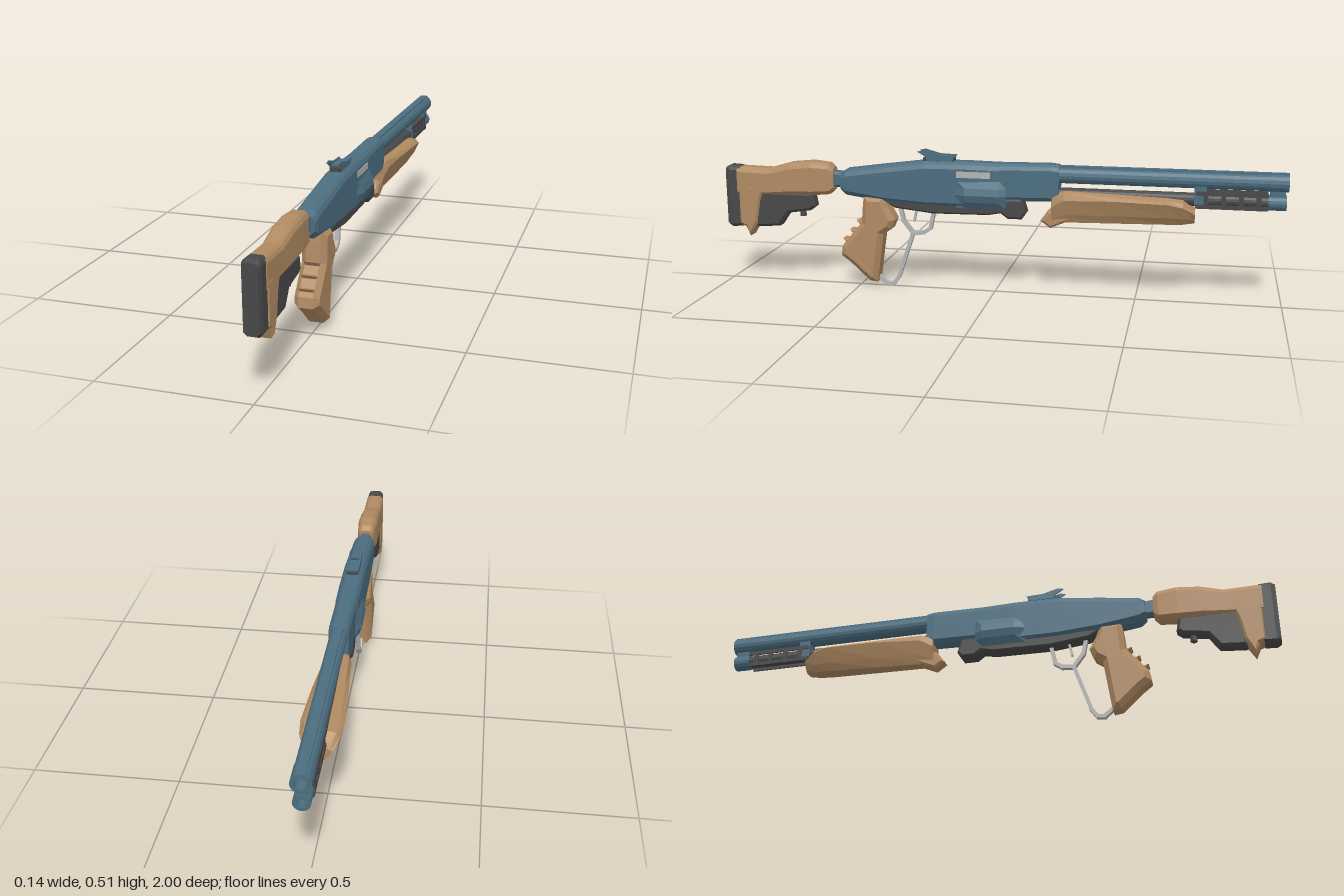
import * as THREE from 'three';

const mat = (color) => new THREE.MeshStandardMaterial({ color, flatShading: true, side: THREE.DoubleSide });
const BLUE = mat(0x4c6e80), TAN = mat(0xb08a62), DARK = mat(0x484848), STEEL = mat(0xb4b4b4);

export function createModel() {
  const root = new THREE.Group();

  const add = (name, geo, material, x = 0, y = 0, z = 0) => {
    const m = new THREE.Mesh(geo, material);
    m.name = name;
    m.position.set(x, y, z);
    root.add(m);
    return m;
  };
  const box = (name, material, w, h, d, x, y, z) => add(name, new THREE.BoxGeometry(w, h, d), material, x, y, z);

  // Skin closed rings (counter-clockwise seen from +z, ordered by rising z)
  function loft(rings) {
    const n = rings[0].length, pos = [];
    const tri = (...p) => p.forEach((v) => pos.push(...v));
    for (let i = 0; i < rings.length - 1; i++) {
      for (let j = 0; j < n; j++) {
        const k = (j + 1) % n;
        const a = rings[i][j], b = rings[i][k], c = rings[i + 1][k], d = rings[i + 1][j];
        tri(a, b, c);
        tri(a, c, d);
      }
    }
    const first = rings[0], last = rings[rings.length - 1];
    for (let j = 1; j < n - 1; j++) {
      tri(first[0], first[j + 1], first[j]);
      tri(last[0], last[j], last[j + 1]);
    }
    const g = new THREE.BufferGeometry();
    g.setAttribute('position', new THREE.Float32BufferAttribute(pos, 3));
    g.computeVertexNormals();
    return g;
  }
  // Half outline, bottom to top on the +x side, mirrored into a full ring
  const ring = (z, half) => [
    ...half.map(([x, y]) => [x, y, z]),
    ...half.slice().reverse().map(([x, y]) => [-x, y, z]),
  ];
  // Chamfered block section: z, bottom, top, half width, chamfer
  const block = ([z, b, t, w, c]) => ring(z, [[w - c, b], [w, b + c], [w, t - c * 1.3], [w - c * 0.4, t - c * 0.5], [w - c, t]]);

  // Side profile given as [z, y] points, extruded across x with a bevel
  function slab(points, width, bevel) {
    const s = new THREE.Shape(points.map(([z, y]) => new THREE.Vector2(z, y)));
    const depth = width - 2 * bevel;
    const g = new THREE.ExtrudeGeometry(s, {
      depth, bevelEnabled: bevel > 0, bevelThickness: bevel, bevelSize: bevel, bevelOffset: -bevel, bevelSegments: 1,
    });
    return g.translate(0, 0, -depth / 2).rotateY(-Math.PI / 2);
  }
  // Hollow round tube along z
  function pipe(r, inner, z0, z1) {
    const p = [[inner, z0], [inner, z1], [r, z1], [r, z0], [inner, z0]].map(([a, b]) => new THREE.Vector2(a, b));
    return new THREE.LatheGeometry(p, 16).rotateX(Math.PI / 2);
  }

  // Barrel, magazine tube and muzzle clamp
  add('barrel', pipe(0.03, 0.02, -1, 0), BLUE, 0, 0.438, 0);
  add('muzzleRing', pipe(0.032, 0.02, -1, -0.93), BLUE, 0, 0.438, 0);
  box('barrelRib', BLUE, 0.028, 0.012, 0.78, 0, 0.464, -0.61);
  add('magazineTube', pipe(0.023, 0.014, -0.95, -0.1), DARK, 0, 0.37, 0);
  add('magazineCap', pipe(0.027, 0.014, -0.995, -0.935), BLUE, 0, 0.369, 0);
  box('muzzleClamp', BLUE, 0.03, 0.03, 0.05, 0, 0.402, -0.965);
  box('tubeBand', BLUE, 0.046, 0.07, 0.04, 0, 0.39, -0.71);
  for (const side of [-1, 1]) {
    box('shroudRail', DARK, 0.006, 0.014, 0.24, side * 0.023, 0.395, -0.815);
    box('shroudRail', DARK, 0.006, 0.014, 0.24, side * 0.023, 0.35, -0.815);
    for (let i = 0; i < 4; i++) box('shroudRib', DARK, 0.006, 0.04, 0.016, side * 0.023, 0.372, -0.73 - i * 0.058);
  }

  // Receiver, tapering down toward the stock
  add('receiver', loft([
    [-0.02, 0.315, 0.472, 0.038, 0.018],
    [0.1, 0.31, 0.474, 0.04, 0.018],
    [0.25, 0.31, 0.472, 0.04, 0.018],
    [0.4, 0.32, 0.452, 0.04, 0.018],
    [0.54, 0.34, 0.432, 0.04, 0.018],
    [0.56, 0.355, 0.42, 0.034, 0.016],
  ].map(block)), BLUE);
  add('receiverFront', loft([
    [-0.23, 0.35, 0.472, 0.033, 0.015],
    [-0.2, 0.345, 0.475, 0.035, 0.015],
    [-0.01, 0.34, 0.472, 0.036, 0.016],
  ].map(block)), BLUE);
  add('stockJoint', loft([[0.55, 0.365, 0.42, 0.02, 0.008], [0.61, 0.365, 0.425, 0.02, 0.008]].map(block)), BLUE);

  // Swollen sides of the receiver
  const cheek = (z, w) => ring(z, [[0.03, 0.31], [w - 0.008, 0.335], [w, 0.36], [w - 0.006, 0.385], [0.036, 0.415]]);
  add('receiverCheeks', loft([cheek(-0.045, 0.044), cheek(-0.02, 0.055), cheek(0.1, 0.055), cheek(0.135, 0.042)]), BLUE);
  box('ejectionPort', STEEL, 0.008, 0.022, 0.12, 0.038, 0.432, 0.07);

  // Dark underside and loading block
  add('undersidePlate', slab([[0.4, 0.325], [0.36, 0.3], [0.22, 0.285], [0.02, 0.288], [-0.04, 0.3], [-0.04, 0.33]], 0.06, 0.006), DARK);
  add('loadingBlock', slab([[-0.02, 0.35], [-0.02, 0.3], [-0.05, 0.278], [-0.1, 0.278], [-0.115, 0.3], [-0.1, 0.35]], 0.066, 0.008), DARK);

  // Sight: flat plate with two raised wings
  box('sightBase', DARK, 0.036, 0.012, 0.11, 0, 0.478, 0.2);
  for (const side of [-1, 1]) {
    add('sightWing', slab([[0.15, 0.474], [0.24, 0.474], [0.245, 0.488], [0.275, 0.505], [0.255, 0.51], [0.2, 0.495], [0.14, 0.493]], 0.005, 0), BLUE, side * 0.02);
  }
  box('sightPlate', BLUE, 0.036, 0.006, 0.08, 0, 0.487, 0.19);

  // Fore-end with a sharp flared edge along each side
  const flare = ([z, b, m, t, w]) => ring(z, [[w * 0.42, b], [w * 0.68, b + (m - b) * 0.35], [w, m], [w * 0.8, t - 0.006], [0.024, t]]);
  add('foreEnd', loft([
    [-0.695, 0.29, 0.325, 0.335, 0.045],
    [-0.655, 0.285, 0.35, 0.37, 0.063],
    [-0.6, 0.283, 0.36, 0.375, 0.068],
    [-0.42, 0.278, 0.362, 0.38, 0.059],
    [-0.25, 0.273, 0.355, 0.385, 0.047],
    [-0.205, 0.262, 0.33, 0.37, 0.04],
  ].map(flare)), TAN);
  add('foreEndTip', slab([[-0.28, 0.285], [-0.2, 0.25], [-0.165, 0.275], [-0.19, 0.31], [-0.24, 0.33]], 0.052, 0.008), TAN);

  // Pistol grip with swept finger spurs
  add('grip', slab([
    [0.475, 0.34], [0.4, 0.34], [0.385, 0.3], [0.36, 0.255], [0.375, 0.22], [0.405, 0.2], [0.415, 0.13],
    [0.43, 0.02], [0.46, 0.025], [0.525, 0.085], [0.565, 0.115], [0.56, 0.15], [0.52, 0.2], [0.485, 0.24], [0.48, 0.3],
  ], 0.084, 0.018), TAN);
  for (let i = 0; i < 3; i++) {
    const z = 0.475 + i * 0.027, y = 0.235 - i * 0.035;
    add('gripSpur', slab([[z - 0.07, y - 0.01], [z, y - 0.025], [z + 0.03, y + 0.012], [z - 0.015, y + 0.004]], 0.05, 0.004), TAN);
  }

  // Lever loop, its arms and the trigger
  const bar = (name, [z0, y0], [z1, y1], t = 0.013, w = 0.018) => {
    const m = box(name, STEEL, w, t, Math.hypot(z1 - z0, y1 - y0) + t * 0.6, 0, (y0 + y1) / 2, (z0 + z1) / 2);
    m.rotation.x = -Math.atan2(y1 - y0, z1 - z0);
  };
  const lever = [[0.22, 0.3], [0.235, 0.225], [0.26, 0.208], [0.3, 0.205], [0.355, 0.04], [0.375, 0.012], [0.4, 0.01], [0.435, 0.04]];
  for (let i = 0; i < lever.length - 1; i++) bar('leverLoop', lever[i], lever[i + 1]);
  bar('leverArm', [0.3, 0.205], [0.335, 0.25]);
  bar('leverArm', [0.335, 0.25], [0.35, 0.32]);
  bar('trigger', [0.285, 0.3], [0.295, 0.25], 0.008, 0.01);

  // Shoulder stock
  add('stockComb', loft([
    [0.588, 0.355, 0.435, 0.025, 0.01],
    [0.605, 0.338, 0.45, 0.032, 0.014],
    [0.67, 0.332, 0.456, 0.037, 0.016],
    [0.75, 0.33, 0.448, 0.036, 0.016],
    [0.83, 0.325, 0.425, 0.034, 0.014],
    [0.955, 0.32, 0.428, 0.033, 0.014],
  ].map(block)), TAN);
  add('stockHeel', slab([[0.955, 0.36], [0.85, 0.36], [0.868, 0.3], [0.882, 0.225], [0.915, 0.17], [0.93, 0.205], [0.955, 0.215]], 0.068, 0.01), TAN);
  add('stockBlock', slab([[0.9, 0.34], [0.67, 0.34], [0.66, 0.29], [0.68, 0.275], [0.765, 0.262], [0.8, 0.212], [0.89, 0.205]], 0.054, 0.01), DARK);
  add('stockCatch', new THREE.CylinderGeometry(0.012, 0.012, 0.03, 8), DARK, 0, 0.265, 0.715);
  add('buttPad', loft([
    [0.945, 0.205, 0.43, 0.03, 0.012],
    [0.985, 0.202, 0.432, 0.03, 0.012],
    [1.0, 0.21, 0.424, 0.024, 0.01],
  ].map(block)), DARK);

  return root;
}
